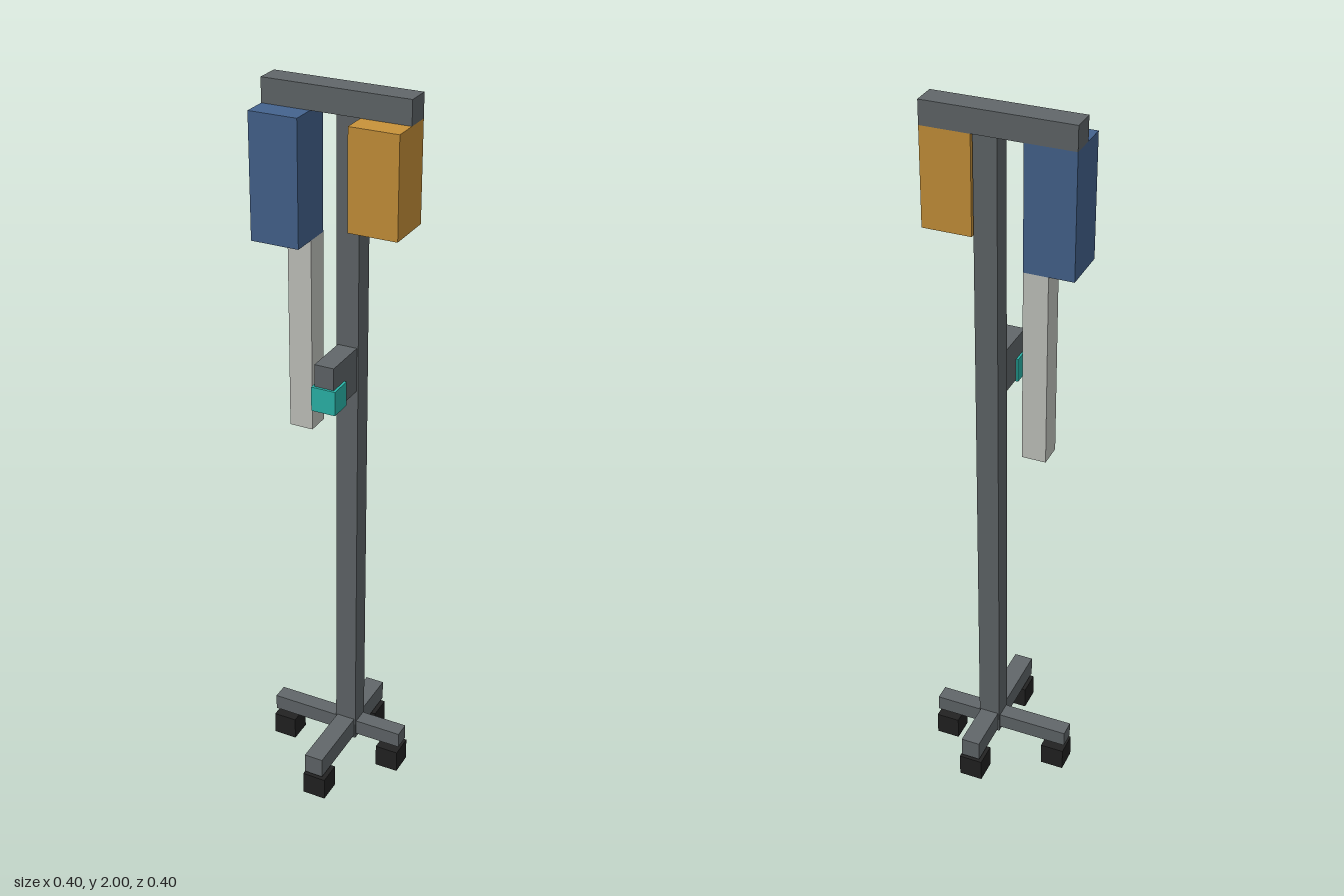
import * as THREE from 'three';

const mat = (name, color) => {
  const m = new THREE.MeshStandardMaterial({ color });
  m.name = name;
  return m;
};

export function createModel() {
  const steel = mat('steel grey', 0x61676a);
  const black = mat('wheel black', 0x222222);
  const blue = mat('bag blue', 0x45648f);
  const orange = mat('bag orange', 0xc9933a);
  const pale = mat('tube pale grey', 0xc5c7c1);
  const teal = mat('clamp teal', 0x2bb8ac);

  const group = new THREE.Group();
  group.name = 'dripStand';

  // Box given by its extents along each axis
  const box = (name, material, [x0, x1], [y0, y1], [z0, z1]) => {
    const mesh = new THREE.Mesh(new THREE.BoxGeometry(x1 - x0, y1 - y0, z1 - z0), material);
    mesh.position.set((x0 + x1) / 2, (y0 + y1) / 2, (z0 + z1) / 2);
    mesh.name = name;
    group.add(mesh);
  };

  // Pole and top crossbar
  box('pole', steel, [0.002, 0.064], [0.07, 1.936], [-0.062, -0.004]);
  box('crossbar', steel, [-0.2, 0.2], [1.936, 2], [-0.067, 0]);

  // Hanging bags and the tube below the right one
  box('rightBag', blue, [-0.2, -0.067], [1.604, 1.936], [-0.067, 0.067]);
  box('leftBag', orange, [0.067, 0.2], [1.672, 1.936], [-0.067, 0.067]);
  box('dripTube', pale, [-0.133, -0.067], [1.069, 1.604], [-0.067, 0]);

  // Bracket on the pole with its clamp
  box('bracket', steel, [0.006, 0.06], [1.21, 1.333], [-0.004, 0.126]);
  box('clamp', teal, [0, 0.067], [1.205, 1.272], [0.067, 0.133]);

  // Crossed feet
  box('footLengthwise', steel, [0.006, 0.06], [0.078, 0.137], [-0.2, 0.2]);
  box('footSideways', steel, [-0.2, 0.2], [0.082, 0.128], [-0.056, -0.01]);

  // Four wheels under the ends of the feet
  for (const end of [[-0.2, -0.133], [0.133, 0.2]]) {
    box('wheel', black, end, [0, 0.067], [-0.067, 0]);
    box('wheel', black, [0, 0.067], [0, 0.067], end);
  }
  return group;
}
